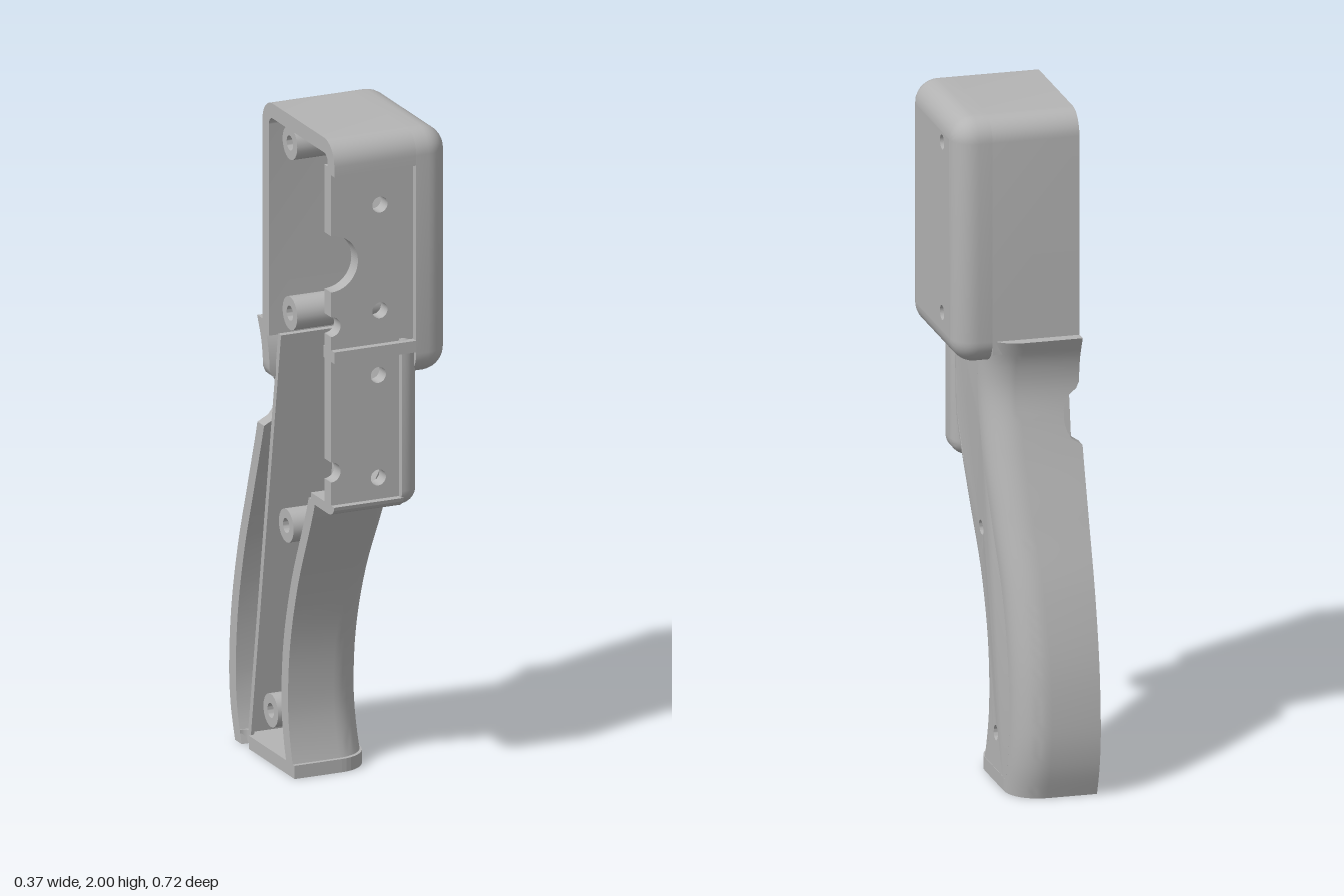
import * as THREE from 'three';
import { toCreasedNormals } from 'three/addons/utils/BufferGeometryUtils.js';

const CUT = -0.185; // plane where the shell half is open
const T = 0.045; // wall thickness
const grey = new THREE.MeshStandardMaterial({ color: 0xb4b4b4, side: THREE.DoubleSide });
grey.name = 'grey plastic';

// Linear interpolation in a small table of [y, value]
function curve(points) {
  const s = new THREE.SplineCurve(points.map(p => new THREE.Vector2(p[0], p[1]))).getPoints(160);
  return y => {
    let i = 0;
    while (i < s.length - 2 && s[i + 1].x < y) i++;
    return THREE.MathUtils.mapLinear(y, s[i].x, s[i + 1].x, s[i].y, s[i + 1].y);
  };
}
const backZ = curve([[0, -0.315], [0.1, -0.345], [0.22, -0.355], [0.4, -0.34], [0.6, -0.295], [0.8, -0.23], [1, -0.165], [1.15, -0.128], [1.25, -0.133], [1.33, -0.165]]);
const frontZ = curve([[0, 0.09], [0.1, 0.06], [0.22, 0.045], [0.4, 0.06], [0.6, 0.115], [0.8, 0.2], [0.9, 0.235], [1.05, 0.25], [1.33, 0.26]]);
const sideX = curve([[0, 0.065], [0.2, 0.06], [0.4, 0.06], [0.6, 0.066], [0.8, 0.079], [1, 0.089], [1.33, 0.09]]);
const frontR = y => THREE.MathUtils.lerp(0.1, 0.05, THREE.MathUtils.smoothstep(y, 0.85, 1.05));
const backR = () => 0.1;

// Skin rows of closed loops; caps join the outer and inner halves of end loops
function loft(rows, caps = false) {
  const n = rows[0].length, index = [];
  rows.slice(1).forEach((_, r) => {
    for (let i = 0; i < n; i++) {
      const a = r * n + i, b = r * n + (i + 1) % n;
      index.push(a, b, b + n, a, b + n, a + n);
    }
  });
  if (caps) for (const o of [0, (rows.length - 1) * n])
    for (let i = 0; i < n / 2 - 1; i++) {
      const a = o + i, b = o + n - 1 - i;
      const q = [a, b, b - 1, a, b - 1, a + 1];
      index.push(...(o ? q.reverse() : q));
    }
  const g = new THREE.BufferGeometry();
  g.setAttribute('position', new THREE.Float32BufferAttribute(rows.flat(2), 3));
  g.setIndex(index);
  return toCreasedNormals(g, 0.6);
}

// Extrude a side outline of [z, y] points from x0 to x1, with round holes [z, y, r]
function sideExtrude(points, x0, x1, holes = []) {
  const shape = new THREE.Shape(points.map(([z, y]) => new THREE.Vector2(-z, y)));
  for (const [z, y, r] of holes) shape.holes.push(new THREE.Path().absarc(-z, y, r, 0, Math.PI * 2, true));
  const g = new THREE.ExtrudeGeometry(shape, { depth: x1 - x0, bevelEnabled: false, curveSegments: 20 });
  return g.rotateY(Math.PI / 2).translate(x0, 0, 0);
}

// Rounded rectangle loop at x, inset by d
function rectLoop(x, [y0, y1, z0, z1], radius, d) {
  const r = Math.max(radius - d, 0.001), loop = [];
  [[z1, y1, -1, -1], [z0, y1, 1, -1], [z0, y0, 1, 1], [z1, y0, -1, 1]].forEach(([z, y, sz, sy], k) => {
    for (let i = 0; i <= 8; i++) {
      const a = (k + i / 8) * Math.PI / 2;
      loop.push([x, y + sy * (d + r) + r * Math.sin(a), z + sz * (d + r) + r * Math.cos(a)]);
    }
  });
  return loop;
}
function filletRows(x1, rect, r) {
  return Array.from({ length: 9 }, (_, i) => {
    const a = i / 8 * Math.PI / 2;
    return rectLoop(x1 - r + r * Math.sin(a), rect, r, r * (1 - Math.cos(a)));
  });
}

// Recessed plate with round holes and half holes along the cut edge
function panel(x1, y0, y1, holes, notches) {
  const s = new THREE.Shape();
  s.moveTo(CUT, y0).lineTo(x1, y0).lineTo(x1, y1).lineTo(CUT, y1);
  for (const [y, r] of notches) s.lineTo(CUT, y + r).absarc(CUT, y, r, Math.PI / 2, -Math.PI / 2, true);
  s.closePath();
  for (const [x, y, r] of holes) s.holes.push(new THREE.Path().absarc(x, y, r, 0, Math.PI * 2, true));
  return new THREE.ExtrudeGeometry(s, { depth: T, bevelEnabled: false, curveSegments: 20 }).translate(0, 0, 0.293);
}

// Wall and rounded corner section of the grip; s = 1 front, -1 back
function gripSection(y, s, start) {
  const z = s > 0 ? frontZ(y) : backZ(y), w = sideX(y), r = s > 0 ? frontR(y) : backR(y);
  const outer = [[start, y, z]], inner = [[start, y, z - s * T]];
  for (let i = 0; i <= 10; i++) {
    const a = i / 10 * Math.PI / 2;
    const at = q => [w - r + q * Math.sin(a), y, z - s * r + s * q * Math.cos(a)];
    outer.push(at(r));
    inner.push(at(r - T));
  }
  return [...outer, ...inner.reverse()];
}

export function createModel() {
  const model = new THREE.Group();
  const add = (name, geometry) => {
    const m = new THREE.Mesh(geometry, grey);
    m.name = name;
    model.add(m);
    return m;
  };
  const ys = (a, b, n) => Array.from({ length: n + 1 }, (_, i) => a + (b - a) * i / n);

  // Head: rounded side, flat side plate, top and back walls
  const head = [1.26, 2, -0.13, 0.36], R = 0.07;
  add('headRoundedSide', loft([
    rectLoop(0.14, head, R, R), rectLoop(0.14, head, R, T), rectLoop(0.075, head, R, T),
    rectLoop(0.075, head, R, 0), ...filletRows(0.185, head, R)]));
  add('headSidePlate', sideExtrude([[-0.06, 1.33], [0.29, 1.33], [0.29, 1.93], [-0.06, 1.93]], 0.14, 0.185,
    [[0.015, 1.9, 0.022], [0.015, 1.385, 0.022]]));
  const topHalf = d => rectLoop(0, head, R, d).slice(0, 18).map(p => [p[2], p[1]]);
  add('headTopAndBack', toCreasedNormals(sideExtrude([
    [0.36, 1.9], ...topHalf(0), [-0.13, 1.29], [-0.13 + T, 1.29], ...topHalf(T).reverse(), [0.36 - T, 1.9]], CUT, 0.075), 0.6));
  add('headFrontPanel', panel(0.085, 1.35, 1.92,
    [[-0.03, 1.79, 0.024], [-0.03, 1.47, 0.024]], [[1.63, 0.085], [1.44, 0.03]]));
  add('frontDivider', new THREE.BoxGeometry(0.26, 0.035, 0.075).translate(-0.055, 1.3525, 0.3225));

  // Lower front block
  const block = [0.87, 1.385, 0.22, 0.36], center = [1.12, 0.29];
  const blockRows = [rectLoop(0.03, block, 0.05, 0), ...filletRows(0.09, block, 0.05)];
  const point = x => blockRows[0].map(() => [x, ...center]);
  add('lowerBlockSide', loft([point(0.03), ...blockRows, point(0.09)]));
  add('lowerBlockPanel', panel(0.04, 0.885, 1.345,
    [[-0.035, 1.275, 0.024], [-0.035, 0.965, 0.024]], [[1, 0.03]]));
  add('lowerBlockBase', sideExtrude(
    [[0.36, 0.9], [0.357, 0.889], [0.348, 0.879], [0.335, 0.872], [0.32, 0.87], [0.2, 0.87], [0.2, 0.9]], CUT, 0.035));

  // Grip: front wall, back wall with a half-round notch, flat side with screw holes
  const frontRows = ys(0, 0.88, 22).map(y => gripSection(y, 1, CUT));
  const upperRows = ys(0.8801, 1.33, 12).map(y => gripSection(y, 1, sideX(y) - frontR(y) - 0.001));
  add('gripFrontWall', loft(frontRows, true));
  add('gripFrontCorner', loft(upperRows, true));
  const notch = y => 0.05 * Math.sqrt(Math.max(0, 1 - ((y - 1.09) / 0.08) ** 2));
  add('gripBackWall', loft(ys(0, 1.33, 66).map(y => gripSection(y, -1, CUT + notch(y))), true));
  const side = sideExtrude([
    ...ys(0, 1.33, 40).map(y => [frontZ(y) - frontR(y), y]),
    ...ys(1.33, 0, 40).map(y => [backZ(y) + backR(y), y])], -T, 0,
  [[-0.01, 0.735, 0.022], [-0.115, 0.145, 0.022]]);
  const p = side.attributes.position;
  for (let i = 0; i < p.count; i++) p.setX(i, p.getX(i) + sideX(p.getY(i)));
  side.computeVertexNormals();
  add('gripSide', toCreasedNormals(side, 0.6));

  // Grip floor with a half-round cable notch
  const floor = new THREE.Shape();
  const f = gripSection(0, 1, CUT).slice(0, 12), b = gripSection(0, -1, CUT).slice(0, 12).reverse();
  [...f, ...b].forEach(([x, , z], i) => i ? floor.lineTo(x, -z) : floor.moveTo(x, -z));
  floor.lineTo(CUT, 0.28).absarc(CUT, 0.25, 0.03, Math.PI / 2, -Math.PI / 2, true);
  floor.closePath();
  add('gripFloor', new THREE.ExtrudeGeometry(floor, { depth: 0.04, bevelEnabled: false }).rotateX(-Math.PI / 2));

  // Straight inner rail in front of the back wall
  add('innerRail', sideExtrude([[-0.27, 0.03], [-0.25, 0.03], [-0.045, 1.3], [-0.065, 1.3]], -0.165, 0.03));

  // Screw bosses
  for (const [z, y, x1] of [[0.015, 1.9, 0.15], [0.015, 1.385, 0.15], [-0.01, 0.735, 0.04], [-0.115, 0.145, 0.03]]) {
    const ring = ys(0, Math.PI * 2, 24).slice(0, 24).map(a => [z + 0.05 * Math.cos(a), y + 0.05 * Math.sin(a)]);
    add('screwBoss', toCreasedNormals(sideExtrude(ring, -0.165, x1, [[z, y, 0.022]]), 0.6));
  }
  return model;
}
